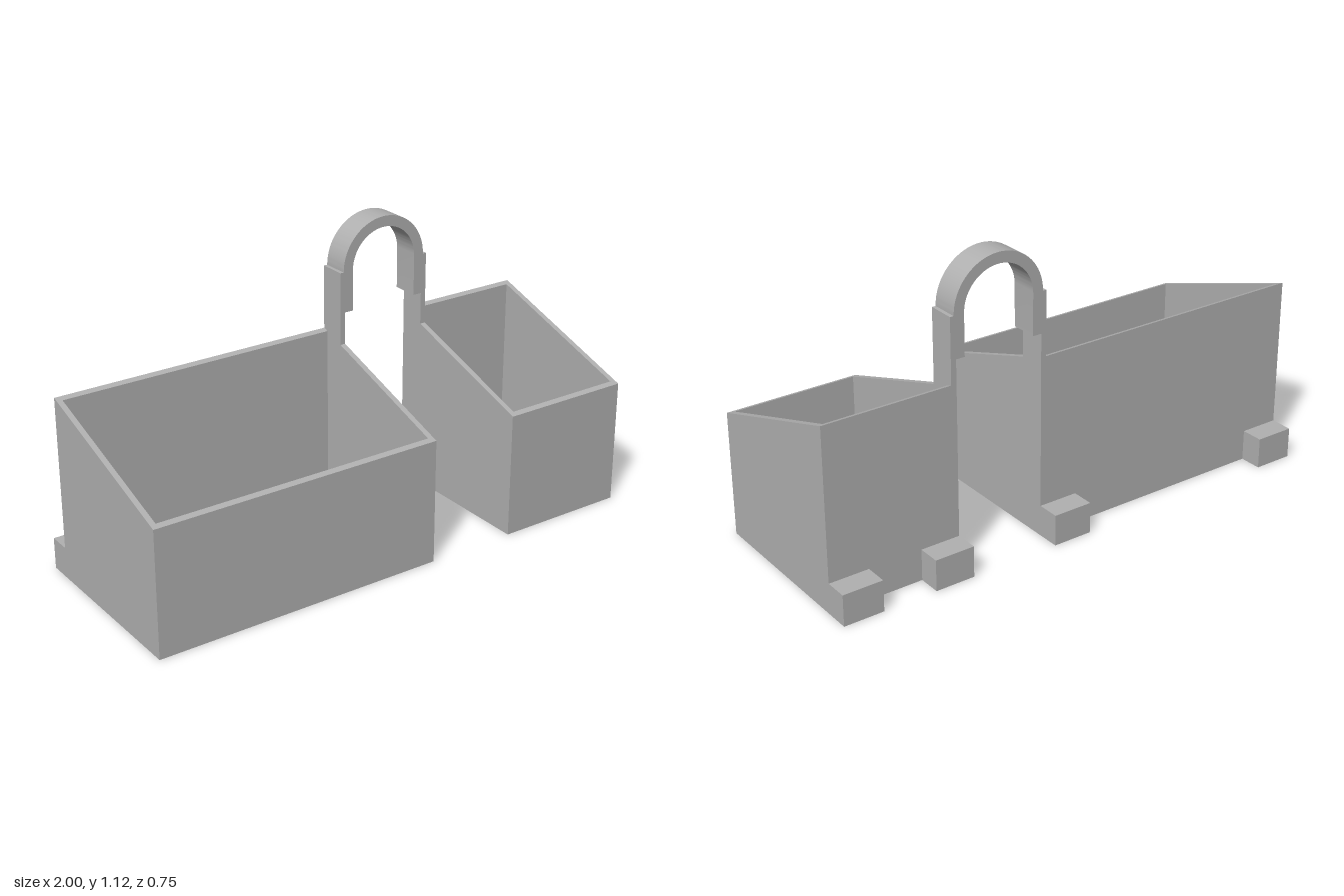
import * as THREE from 'three';
import { toCreasedNormals } from 'three/addons/utils/BufferGeometryUtils.js';

const BACK = -0.285, FRONT = 0.372, WALL = 0.021;
const HANDLE_FRONT = -0.18, SHOULDER = 0.943;

// Height of the sloping rim at depth z
const rim = (z) => 0.481 + (0.698 - 0.481) * (FRONT - z) / (FRONT - BACK);

export function createModel() {
  const model = new THREE.Group();
  model.name = 'twinBinCaddy';
  const grey = new THREE.MeshStandardMaterial({ color: 0xb0b0b0 });
  grey.name = 'grey plastic';

  const add = (parent, name, geometry) => {
    const mesh = new THREE.Mesh(geometry, grey);
    mesh.name = name;
    parent.add(mesh);
    return mesh;
  };

  // Extrude a side profile of [z, y] points from x0 to x1
  const prism = (points, x0, x1) => {
    const shape = new THREE.Shape(points.map(([z, y]) => new THREE.Vector2(-z, y)));
    return new THREE.ExtrudeGeometry(shape, { depth: x1 - x0, bevelEnabled: false })
      .rotateY(Math.PI / 2).translate(x0, 0, 0);
  };

  // Upright panel with a sloped top between two depths
  const panel = (z0, z1) => [[z1, 0], [z0, 0], [z0, rim(z0)], [z1, rim(z1)]];

  // Side wall that rises into a strap for the handle
  const strapPanel = [
    [FRONT, 0], [BACK, 0], [BACK, SHOULDER], [HANDLE_FRONT, SHOULDER],
    [HANDLE_FRONT, rim(HANDLE_FRONT)], [FRONT, rim(FRONT)],
  ];

  function addBin(name, x0, x1, strapOnRightEdge, firstHole, columns) {
    const bin = new THREE.Group();
    bin.name = name;
    model.add(bin);
    const plain = panel(BACK, FRONT);
    const in0 = x0 + WALL, in1 = x1 - WALL;
    add(bin, 'lowXWall', prism(strapOnRightEdge ? plain : strapPanel, x0, in0));
    add(bin, 'highXWall', prism(strapOnRightEdge ? strapPanel : plain, in1, x1));
    add(bin, 'frontWall', prism(panel(FRONT - WALL, FRONT), in0, in1));
    add(bin, 'backWall', prism(panel(BACK, BACK + WALL), in0, in1));

    // Floor with a grid of drain holes
    const zf = FRONT - WALL, zb = BACK + WALL;
    const floor = new THREE.Shape([
      new THREE.Vector2(in0, -zf), new THREE.Vector2(in1, -zf),
      new THREE.Vector2(in1, -zb), new THREE.Vector2(in0, -zb),
    ]);
    for (let i = 0; i < columns; i++) {
      for (let j = 0; j < 5; j++) {
        const hole = new THREE.Path();
        hole.absarc(firstHole + i * 0.105, 0.215 - j * 0.105, 0.028, 0, Math.PI * 2, true);
        floor.holes.push(hole);
      }
    }
    const floorGeometry = new THREE.ExtrudeGeometry(floor, {
      depth: WALL, bevelEnabled: false, curveSegments: 12,
    }).rotateX(-Math.PI / 2);
    add(bin, 'drainFloor', toCreasedNormals(floorGeometry, 0.7));

    // Spacer blocks on the back
    const size = 0.155;
    for (const x of [x0 + size / 2, x1 - size / 2]) {
      add(bin, 'spacerBlock', new THREE.BoxGeometry(size, 0.12, 0.088))
        .position.set(x, 0.06, BACK - 0.044);
    }
  }

  addBin('largeBin', -1, 0.133, true, -0.93, 10);
  addBin('smallBin', 0.482, 1, false, 0.555, 4);

  // Arched handle joining the two straps
  const cx = 0.3075, outer = 0.181, inner = 0.14, foot = 0.787;
  const arch = new THREE.Shape();
  arch.moveTo(cx + outer, foot);
  arch.lineTo(cx + outer, SHOULDER);
  arch.absarc(cx, SHOULDER, outer, 0, Math.PI, false);
  arch.lineTo(cx - outer, foot);
  arch.lineTo(cx - inner, foot);
  arch.lineTo(cx - inner, SHOULDER);
  arch.absarc(cx, SHOULDER, inner, Math.PI, 0, true);
  arch.lineTo(cx + inner, foot);
  arch.closePath();
  const archGeometry = new THREE.ExtrudeGeometry(arch, {
    depth: HANDLE_FRONT - BACK, bevelEnabled: false, curveSegments: 32,
  }).translate(0, 0, BACK);
  add(model, 'archHandle', toCreasedNormals(archGeometry, 0.5));

  return model;
}
